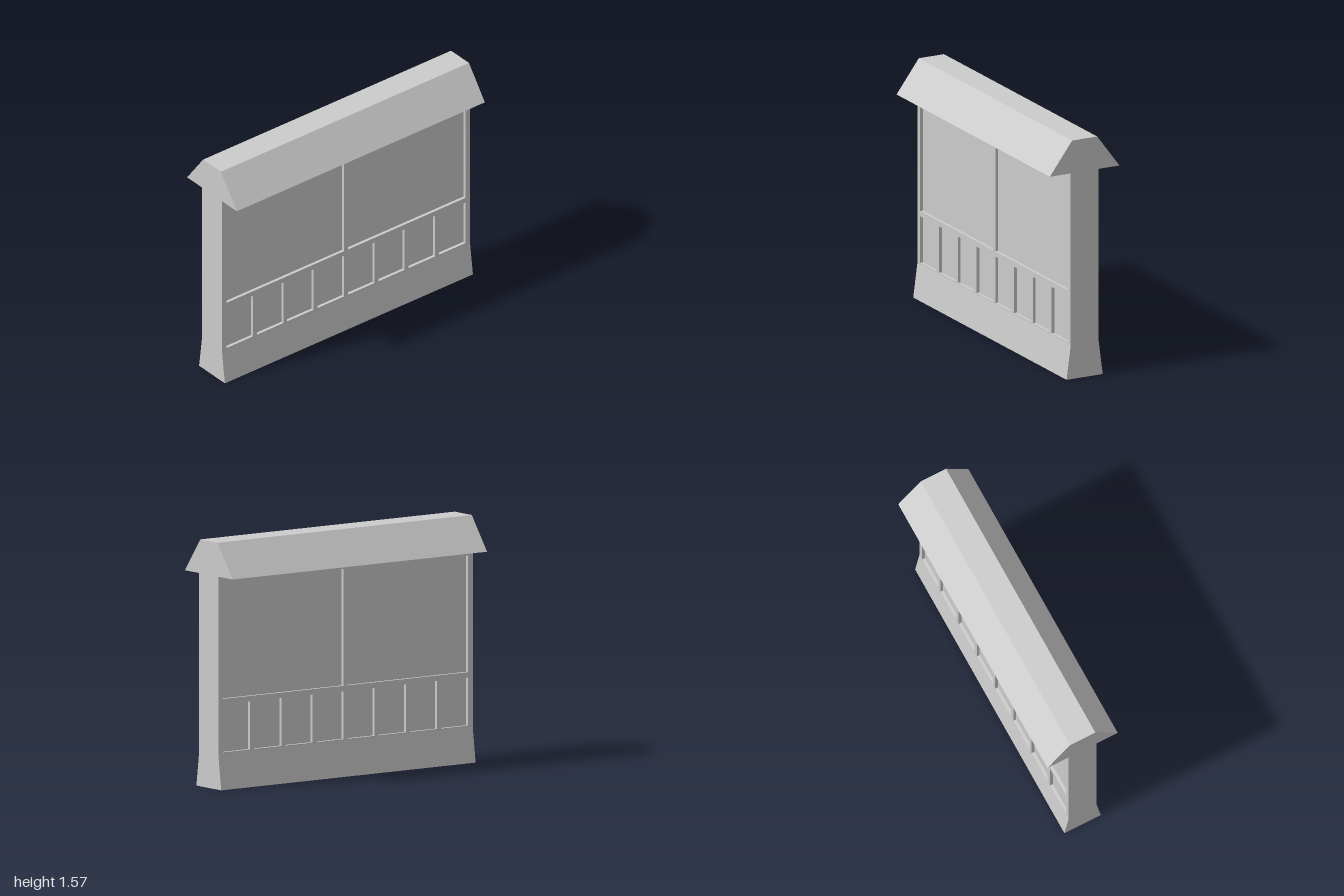
import * as THREE from 'three';

const material = new THREE.MeshStandardMaterial({
  color: 0xcccccc, flatShading: true, side: THREE.DoubleSide,
});

// Half section as [z, y], from the foot up to the roof edge
const foot = [0.13, 0], waist = [0.1, 0.225], neck = [0.1, 1.355];
const eave = [0.25, 1.355], ridge = [0.09, 1.57], farRidge = [-0.09, 1.57];
const HALF = 1, DEPTH = 0.02;

function add(parent, name, geometry) {
  const mesh = new THREE.Mesh(geometry, material);
  mesh.name = name;
  parent.add(mesh);
  return mesh;
}

// Full-length flat strip between two section points
function strip([z0, y0], [z1, y1]) {
  const g = new THREE.BufferGeometry();
  g.setAttribute('position', new THREE.Float32BufferAttribute([
    -HALF, y0, z0, HALF, y0, z0, HALF, y1, z1, -HALF, y1, z1], 3));
  g.setIndex([0, 1, 2, 0, 2, 3]);
  g.computeVertexNormals();
  return g;
}

// Rectangular outline, used for the wall and its openings
function rectangle(x0, y0, x1, y1, Type) {
  return new Type([[x0, y0], [x1, y0], [x1, y1], [x0, y1]].map(p => new THREE.Vector2(...p)));
}

// Inward-facing tray: a box without its front face, turned inside out
function tray(x0, y0, x1, y1) {
  const box = new THREE.BoxGeometry(x1 - x0, y1 - y0, DEPTH);
  const index = Array.from(box.index.array);
  index.splice(24, 6);
  box.setIndex(index.reverse());
  const g = box.toNonIndexed();
  g.computeVertexNormals();
  return g.translate((x0 + x1) / 2, (y0 + y1) / 2, waist[0] - DEPTH / 2);
}

// Openings: two large panels above a row of eight small ones
const openings = [];
for (let i = 0; i < 2; i++) {
  const x = -0.963 + i * 0.979;
  openings.push(['largePanel', x, 0.575, x + 0.947, 1.317]);
}
for (let i = 0; i < 8; i++) {
  const x = -0.963 + i * 0.2447;
  openings.push(['smallPanel', x, 0.235, x + 0.2131, 0.54]);
}

function createFace(name) {
  const face = new THREE.Group();
  face.name = name;

  // Wall frame with recessed panels
  const wall = rectangle(-HALF, waist[1], HALF, neck[1], THREE.Shape);
  for (const [panel, ...r] of openings) {
    wall.holes.push(rectangle(...r, THREE.Path));
    add(face, panel, tray(...r));
  }
  add(face, 'wallFrame', new THREE.ShapeGeometry(wall).translate(0, 0, waist[0]));

  // Flared plinth and overhanging roof
  add(face, 'plinth', strip(foot, waist));
  add(face, 'soffit', strip(neck, eave));
  add(face, 'roofSlope', strip(eave, ridge));
  return face;
}

export function createModel() {
  const model = new THREE.Group();
  model.name = 'panelledWall';

  // Identical front and back
  model.add(createFace('frontFace'));
  const back = createFace('backFace');
  back.rotation.y = Math.PI;
  model.add(back);

  add(model, 'roofTop', strip(ridge, farRidge));

  // End walls follow the whole section; the underside stays open
  const half = [foot, waist, neck, eave, ridge];
  const outline = [...half, ...half.map(([z, y]) => [-z, y]).reverse()];
  const section = new THREE.Shape(outline.map(p => new THREE.Vector2(...p)));
  for (const side of [1, -1]) {
    const end = new THREE.ShapeGeometry(section).rotateY(side * Math.PI / 2);
    add(model, side > 0 ? 'leftEnd' : 'rightEnd', end.translate(side * HALF, 0, 0));
  }
  return model;
}
